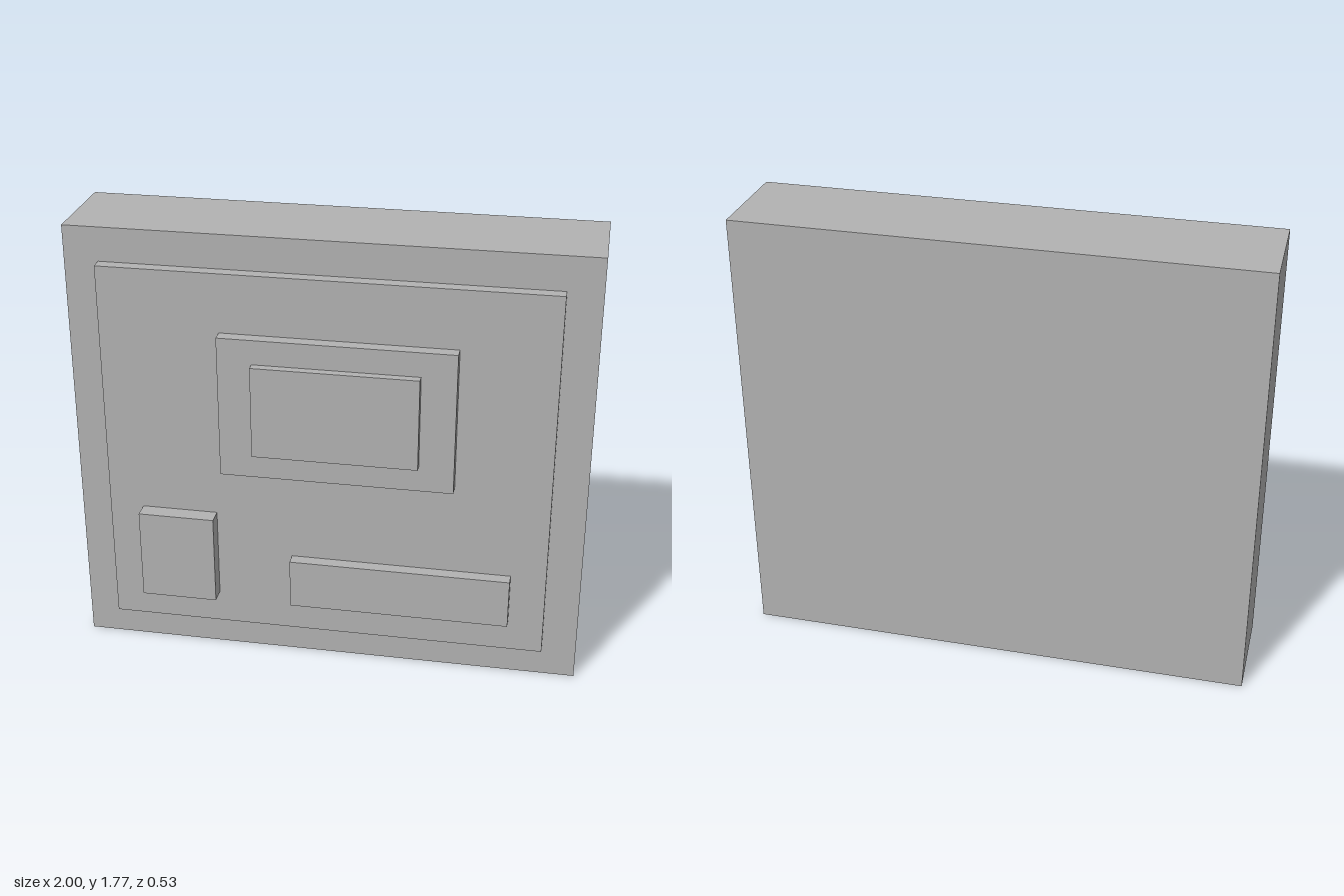
import * as THREE from 'three';

export function createModel() {
  const group = new THREE.Group();
  const grey = new THREE.MeshStandardMaterial({ color: 0xb2b2b2 });
  grey.name = 'plain grey';

  // Adds a box spanning the given ranges
  function slab(name, [x0, x1], [y0, y1], [z0, z1]) {
    const mesh = new THREE.Mesh(new THREE.BoxGeometry(x1 - x0, y1 - y0, z1 - z0), grey);
    mesh.position.set((x0 + x1) / 2, (y0 + y1) / 2, (z0 + z1) / 2);
    mesh.name = name;
    group.add(mesh);
  }

  // Wall block and the raised panel on its front
  slab('wallBlock', [-1, 1], [0, 1.767], [-0.267, 0.133]);
  slab('frontPanel', [-0.867, 0.867], [0.133, 1.633], [0.133, 0.183]);

  // Screen surround with the screen on it
  slab('screenFrame', [-0.4, 0.5], [0.833, 1.4], [0.183, 0.233]);
  slab('screen', [-0.267, 0.367], [0.937, 1.303], [0.233, 0.267]);

  // Controls under the screen
  slab('buttonBlock', [-0.733, -0.433], [0.267, 0.633], [0.183, 0.25]);
  slab('lowerBar', [-0.133, 0.73], [0.267, 0.467], [0.183, 0.233]);

  return group;
}
